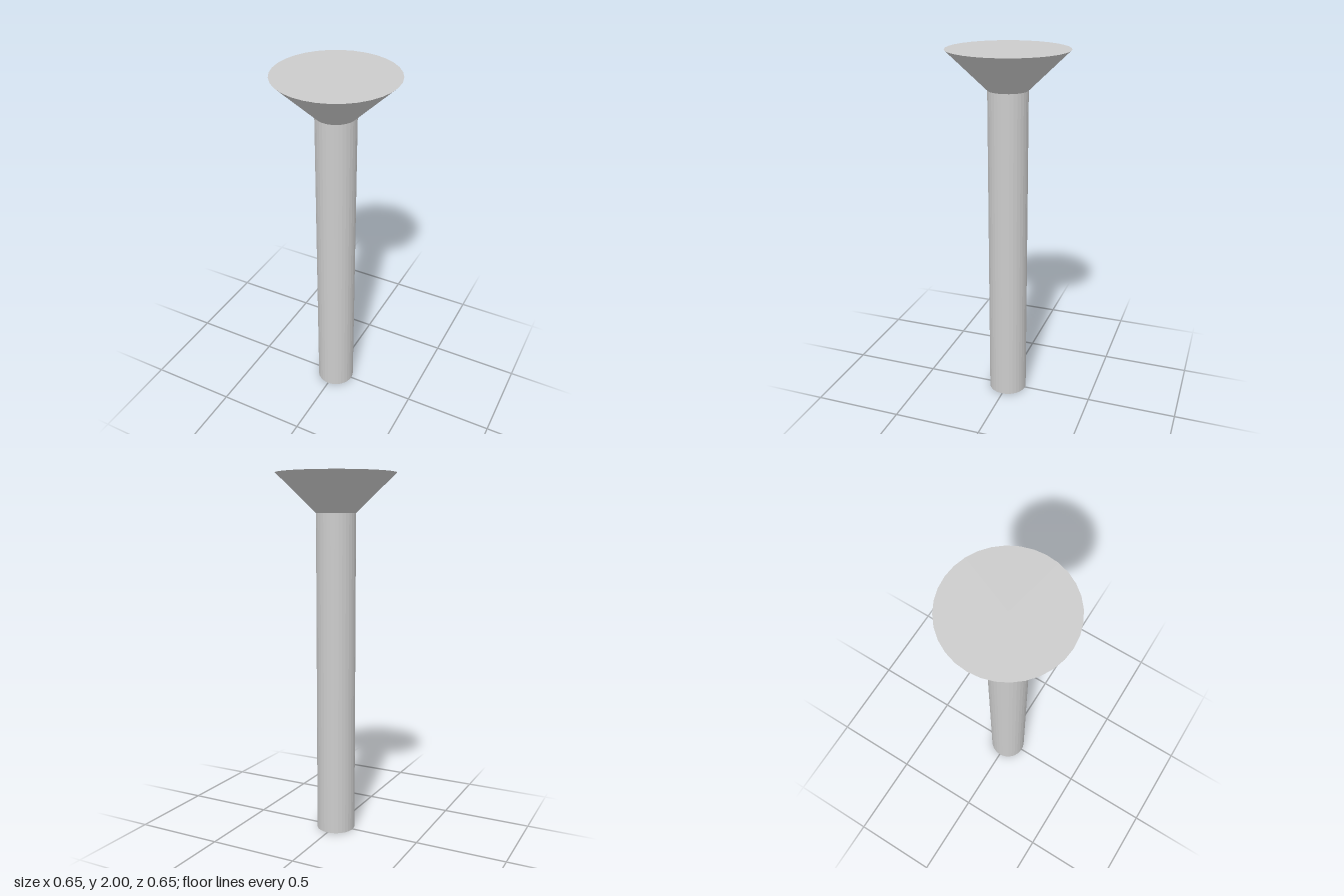
import * as THREE from 'three';

const SIDES = 32;
const HEIGHT = 2;
const NECK_Y = 1.79; // where the shank meets the head
const SHANK_R = 0.108;
const HEAD_R = 0.325;

export function createModel() {
  const model = new THREE.Group();
  model.name = 'countersunkPin';
  const material = new THREE.MeshStandardMaterial({ color: 0xcccccc, flatShading: true });

  // Closed shell turned from a profile of [radius, y] points, bottom to top
  const turned = (name, profile) => {
    const points = profile.map(([r, y]) => new THREE.Vector2(r, y));
    const mesh = new THREE.Mesh(new THREE.LatheGeometry(points, SIDES), material);
    mesh.name = name;
    model.add(mesh);
  };

  // Straight shank with a flat end, open where it joins the head
  turned('shank', [[0, 0], [SHANK_R, 0], [SHANK_R, NECK_Y]]);

  // Flared conical head with a flat top
  turned('head', [[SHANK_R, NECK_Y], [HEAD_R, HEIGHT], [0, HEIGHT]]);

  return model;
}
